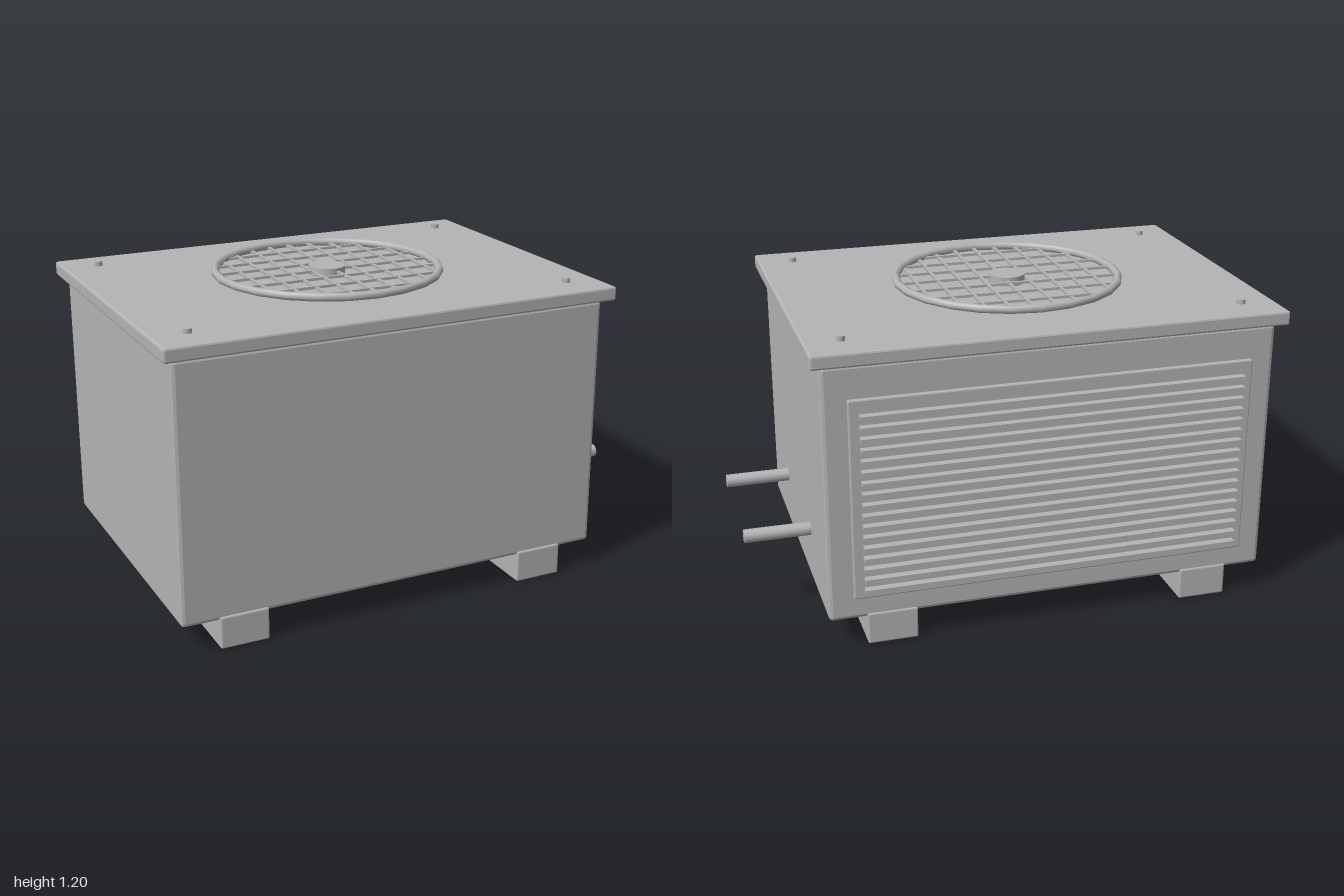
import * as THREE from 'three';
import { RoundedBoxGeometry } from 'three/addons/geometries/RoundedBoxGeometry.js';

export function createModel() {
  const model = new THREE.Group();
  const metal = new THREE.MeshStandardMaterial({ color: 0xb4b4b4 });
  metal.name = 'grey metal';
  const CX = -0.108, CZ = 0.005; // middle of the cabinet

  function add(name, geometry, x = 0, y = 0, z = 0, parent = model) {
    const mesh = new THREE.Mesh(geometry, metal);
    mesh.name = name;
    mesh.position.set(x, y, z);
    parent.add(mesh);
    return mesh;
  }
  function flat(geometry) {
    const g = geometry.index ? geometry.toNonIndexed() : geometry;
    g.computeVertexNormals();
    return g;
  }
  // Bevelled box given by its limits on each axis
  function bevelBox(name, [x0, x1], [y0, y1], [z0, z1], bevel) {
    const g = flat(new RoundedBoxGeometry(x1 - x0, y1 - y0, z1 - z0, 1, bevel));
    return add(name, g, (x0 + x1) / 2, (y0 + y1) / 2, (z0 + z1) / 2);
  }
  function group(name) {
    const g = new THREE.Group();
    g.name = name;
    model.add(g);
    return g;
  }

  // Cabinet, overhanging lid and the two support beams
  bevelBox('cabinet', [-0.963, 0.747], [0.11, 1.1], [-0.606, 0.616], 0.015);
  bevelBox('lid', [-1, 0.784], [1.103, 1.157], [-0.645, 0.655], 0.008);
  bevelBox('leftBeam', [0.415, 0.605], [0, 0.125], [-0.612, 0.624], 0.006);
  bevelBox('rightBeam', [-0.82, -0.632], [0, 0.125], [-0.612, 0.624], 0.006);

  // Back vent: plate with horizontal slats
  bevelBox('ventPlate', [-0.87, 0.655], [0.2, 0.975], [-0.626, -0.604], 0.005);
  const slats = group('ventSlats');
  const slat = new THREE.BoxGeometry(1.45, 0.013, 0.034);
  for (let i = 0; i < 17; i++) {
    add('slat', slat, CX, 0.24 + i * 0.0423, -0.639, slats);
  }

  // Fan guard: rim, crossed bars cut to the rim, and hub
  const R = 0.433;
  const guard = group('fanGuard');
  guard.position.set(CX, 0, CZ);
  const rim = new THREE.TorusGeometry(R, 0.016, 8, 24);
  rim.rotateX(Math.PI / 2);
  add('rim', rim, 0, 1.181, 0, guard);
  const barLength = (d) => 2 * Math.sqrt(R * R - d * d);
  for (let i = -4; i <= 4; i++) {
    const x = 0.016 + i * 0.0855;
    add('lengthBar', new THREE.BoxGeometry(0.012, 0.01, barLength(x)), x, 1.176, 0, guard);
  }
  for (let i = -3; i <= 3; i++) {
    const z = 0.016 + i * 0.108;
    add('crossBar', new THREE.BoxGeometry(barLength(z), 0.01, 0.012), 0, 1.177, z, guard);
  }
  add('hub', new THREE.CylinderGeometry(0.07, 0.07, 0.036, 24), 0, 1.174, 0, guard);

  // Lid bolts
  const bolts = group('lidBolts');
  const bolt = new THREE.CylinderGeometry(0.016, 0.016, 0.02, 12);
  for (const sx of [-1, 1]) {
    for (const sz of [-1, 1]) {
      add('bolt', bolt, CX + sx * 0.757, 1.165, CZ + sz * 0.51, bolts);
    }
  }

  // Pipe stubs on the left side
  const pipe = new THREE.CylinderGeometry(0.026, 0.026, 0.26, 12);
  pipe.rotateZ(Math.PI / 2);
  for (const s of [-1, 1]) add('pipe', pipe, 0.87, 0.327, CZ + s * 0.26);

  return model;
}
